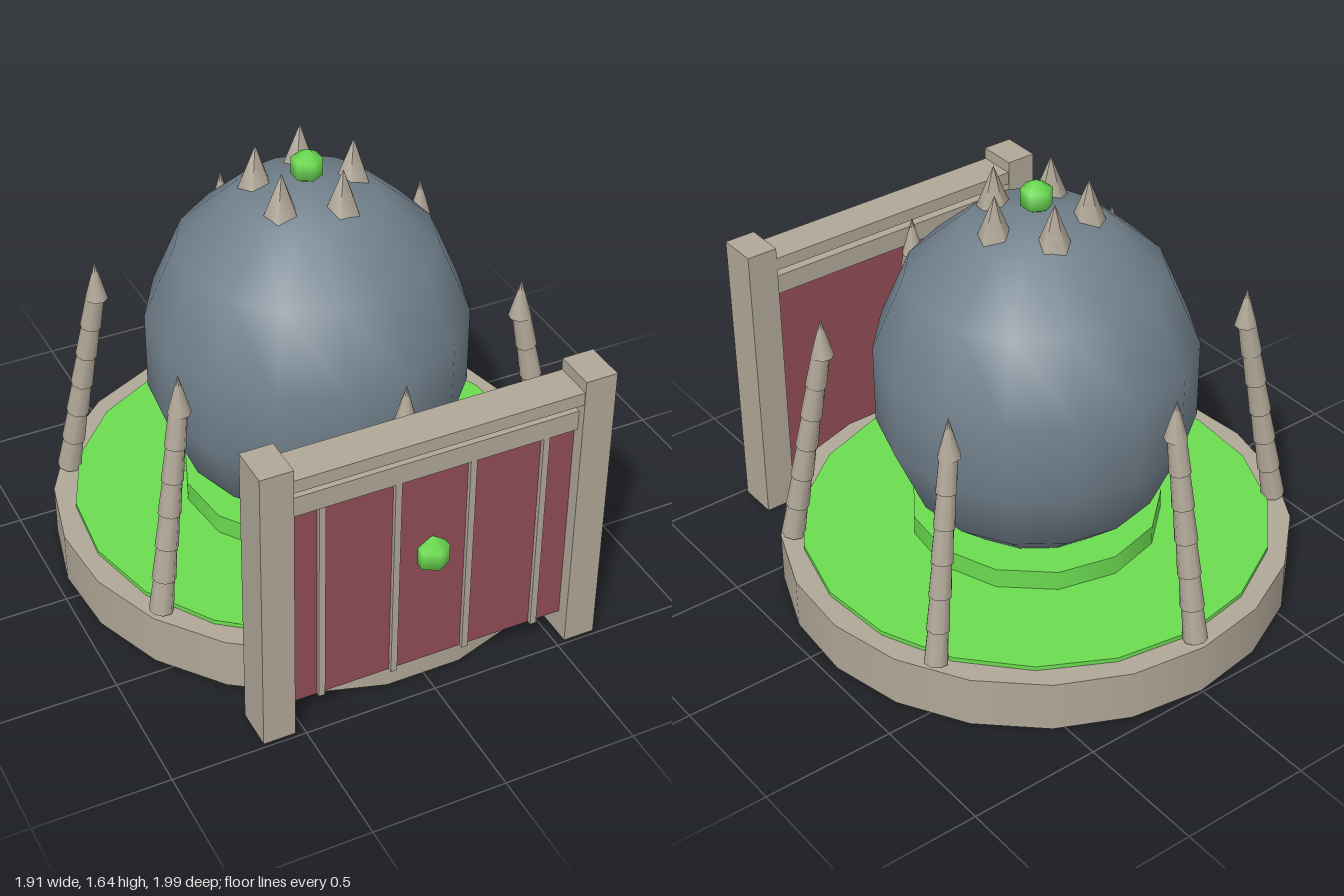
import * as THREE from 'three';

const CZ = -0.035; // centre of the round platform

const stone = new THREE.MeshStandardMaterial({ color: 0xb0a797 });
const slate = new THREE.MeshStandardMaterial({ color: 0x71808c });
const green = new THREE.MeshStandardMaterial({ color: 0x6bdb50 });
const red = new THREE.MeshStandardMaterial({ color: 0x914c56 });

function add(parent, name, geometry, material, x = 0, y = 0, z = 0) {
  const mesh = new THREE.Mesh(geometry, material);
  mesh.name = name;
  mesh.position.set(x, y, z);
  parent.add(mesh);
  return mesh;
}

// Upright disc between two heights, with a corner pointing to the back
function disc(parent, name, radius, y0, y1, sides, material) {
  const geometry = new THREE.CylinderGeometry(radius, radius, y1 - y0, sides).rotateY(Math.PI);
  return add(parent, name, geometry, material, 0, (y0 + y1) / 2, CZ);
}

// Box given by its ranges
function block(parent, name, [x0, x1], [y0, y1], [z0, z1], material) {
  return add(parent, name, new THREE.BoxGeometry(x1 - x0, y1 - y0, z1 - z0), material,
    (x0 + x1) / 2, (y0 + y1) / 2, (z0 + z1) / 2);
}

function gem(parent, name, radius, y, z) {
  const geometry = new THREE.SphereGeometry(radius, 6, 3).rotateY(-Math.PI / 2);
  return add(parent, name, geometry, green, 0, y, z);
}

// Inward-leaning pillar of stacked segments, built along +z
function makePillar() {
  const pillar = new THREE.Group();
  pillar.name = 'segmentedPillar';
  const count = 6, bottom = [0.91, 0.21], top = [0.768, 0.99];
  const dr = (top[0] - bottom[0]) / count, dy = (top[1] - bottom[1]) / count;
  const length = Math.hypot(dr, dy);
  for (let i = 0; i < count; i++) {
    const radius = 0.045 - i * 0.0012;
    const segment = add(pillar, 'pillarSegment',
      new THREE.CylinderGeometry(radius * 0.85, radius, length * 1.02, 8), stone,
      0, bottom[1] + dy * (i + 0.5), bottom[0] + dr * (i + 0.5));
    segment.rotation.x = Math.atan2(dr, dy);
  }
  add(pillar, 'pillarTip', new THREE.ConeGeometry(0.042, 0.155, 8), stone, 0, 1.063, 0.762);
  return pillar;
}

export function createModel() {
  const model = new THREE.Group();
  model.name = 'domedShrine';

  // Platform
  disc(model, 'platform', 0.957, 0, 0.2, 21, stone);
  disc(model, 'lawn', 0.88, 0.19, 0.217, 19, green);
  disc(model, 'dais', 0.47, 0.2, 0.295, 13, green);

  // Egg-shaped dome
  const dome = new THREE.SphereGeometry(0.6, 15, 7).rotateY(-Math.PI / 2).scale(1, 1.14, 1);
  add(model, 'dome', dome, slate, 0, 0.848, CZ);

  // Crown of spikes around a gem
  for (let i = 0; i < 5; i++) {
    const a = (i / 5) * Math.PI * 2;
    const spike = new THREE.ConeGeometry(0.07, 0.18, 5).rotateY(Math.PI);
    add(model, 'crownSpike', spike, stone, 0.18 * Math.cos(a), 1.545, CZ + 0.18 * Math.sin(a));
  }
  gem(model, 'crownGem', 0.065, 1.572, CZ);

  // Ring of pillars
  for (let i = 0; i < 6; i++) {
    const pillar = makePillar();
    pillar.position.z = CZ;
    pillar.rotation.y = (i / 6) * Math.PI * 2;
    model.add(pillar);
  }

  // Gate
  const gate = new THREE.Group();
  gate.name = 'gate';
  model.add(gate);
  const span = [-0.537, 0.537];
  for (const s of [-1, 1]) {
    block(gate, 'gatePost', [s * 0.595 - 0.06, s * 0.595 + 0.06], [0, 1.15], [0.83, 0.985], stone);
    for (const x of [0.14, 0.418]) {
      block(gate, 'gateSlat', [s * x - 0.012, s * x + 0.012], [0.1, 0.94], [0.9, 0.952], stone);
    }
  }
  block(gate, 'gatePanel', span, [0.1, 1.0], [0.885, 0.935], red);
  block(gate, 'gateRail', span, [0.935, 1.012], [0.86, 0.955], stone);
  block(gate, 'gateLintel', span, [1.055, 1.105], [0.833, 0.982], stone);
  gem(gate, 'gateGem', 0.07, 0.58, 0.939);

  return model;
}
